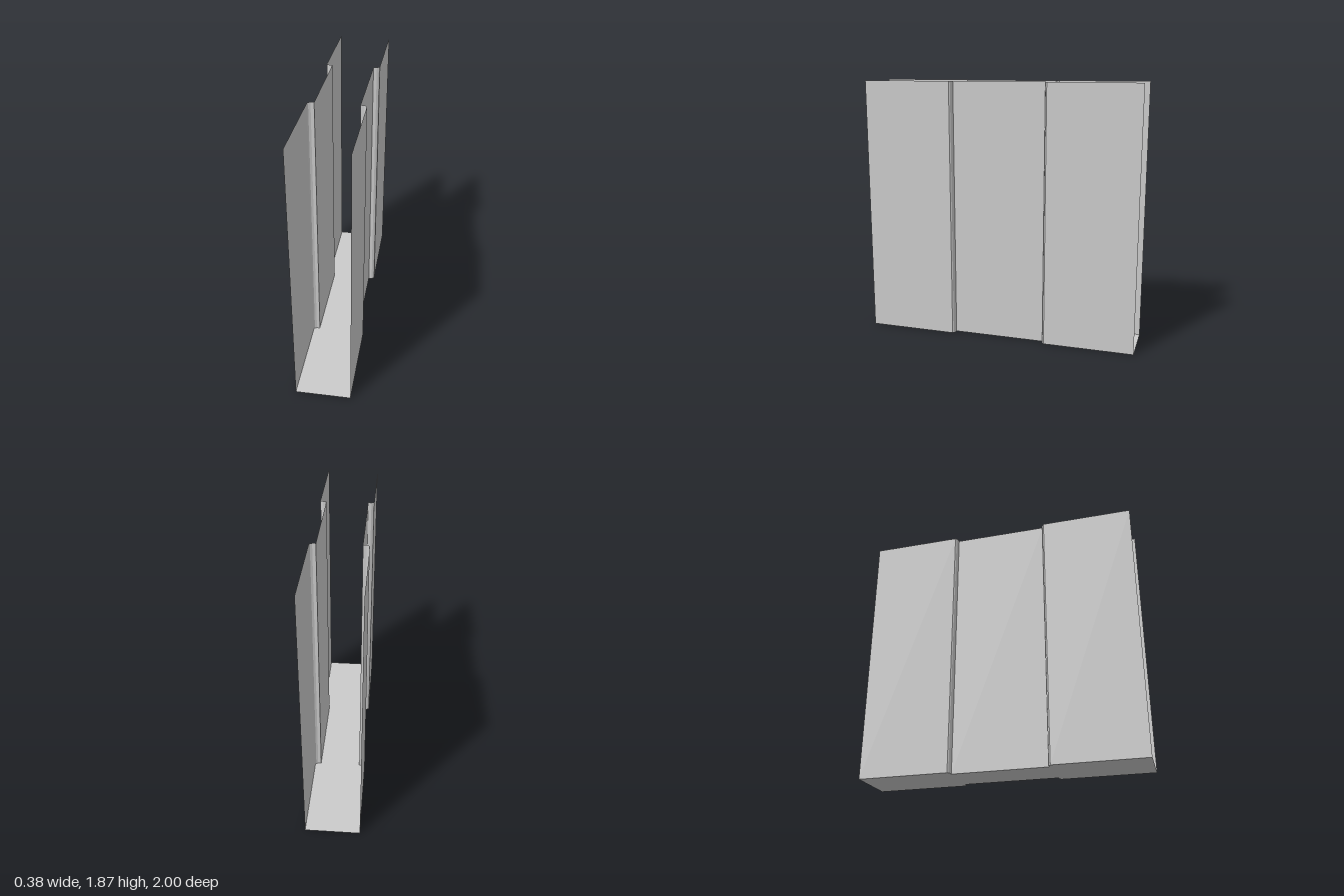
import * as THREE from 'three';

const HEIGHT = 1.87;
// Half of the side profile as [x, z], from the open end to the recessed middle
const HALF = [[0.19, 1], [0.19, 0.353], [0.184, 0.345], [0.17, 0.338], [0.147, 0.337]];
const PROFILE = [...HALF, ...HALF.map(([x, z]) => [x, -z]).reverse()];

const material = new THREE.MeshStandardMaterial({
  color: 0xcccccc, flatShading: true, side: THREE.DoubleSide,
});

// Upright sheet following the profile; side is +1 (left) or -1 (right)
function makeWall(side) {
  const n = PROFILE.length;
  const geometry = new THREE.PlaneGeometry(1, HEIGHT, n - 1, 1);
  const pos = geometry.attributes.position;
  for (let i = 0; i < pos.count; i++) {
    // Reverse the run on the right so both sheets face outwards
    const [x, z] = PROFILE[side > 0 ? i % n : n - 1 - (i % n)];
    pos.setXYZ(i, side * x, i < n ? HEIGHT : 0, z);
  }
  geometry.computeVertexNormals();
  return new THREE.Mesh(geometry, material);
}

export function createModel() {
  const model = new THREE.Group();
  model.name = 'openChannel';

  // Side walls with a recessed middle
  for (const [name, side] of [['leftWall', 1], ['rightWall', -1]]) {
    const wall = makeWall(side);
    wall.name = name;
    model.add(wall);
  }

  // Floor sheet filling the plan between the walls
  const outline = [...PROFILE, ...PROFILE.map(([x, z]) => [-x, z]).reverse()];
  const shape = new THREE.Shape(outline.map(([x, z]) => new THREE.Vector2(x, -z)));
  const floor = new THREE.Mesh(new THREE.ShapeGeometry(shape).rotateX(-Math.PI / 2), material);
  floor.name = 'floor';
  model.add(floor);

  return model;
}
